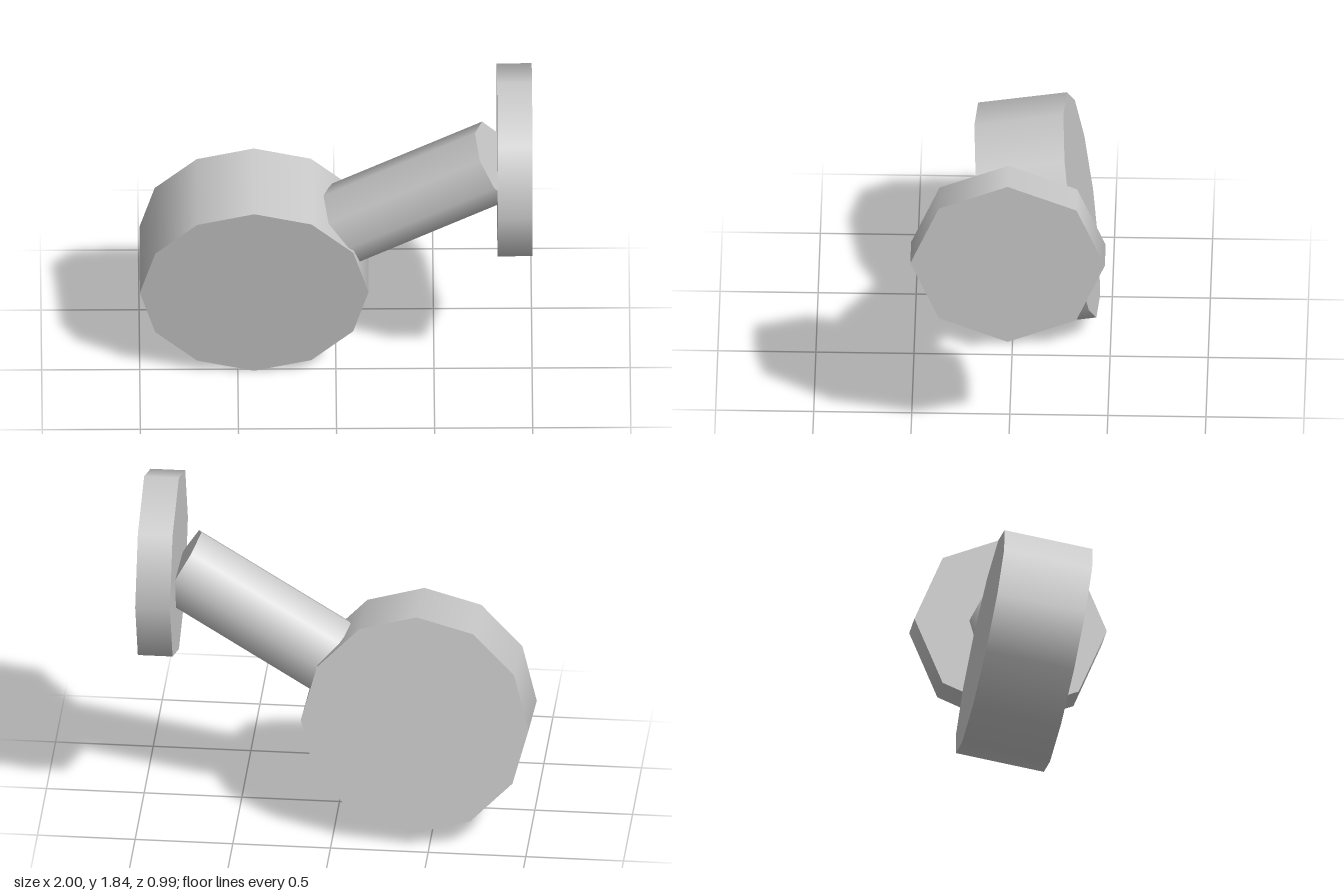
import * as THREE from 'three';

export function createModel() {
  const model = new THREE.Group();
  const grey = new THREE.MeshStandardMaterial({ color: 0xc8c8c8 });
  grey.name = 'light grey';

  // Capped prism with smooth sides running from one point to another
  const rod = (name, from, to, radius, sides) => {
    const a = new THREE.Vector3(...from);
    const b = new THREE.Vector3(...to);
    const axis = b.clone().sub(a);
    const geometry = new THREE.CylinderGeometry(radius, radius, axis.length(), sides);
    const mesh = new THREE.Mesh(geometry, grey);
    mesh.name = name;
    mesh.position.copy(a).add(b).multiplyScalar(0.5);
    mesh.quaternion.setFromUnitVectors(new THREE.Vector3(0, 1, 0), axis.normalize());
    model.add(mesh);
  };

  // Thick drum, tipped slightly forward
  rod('drum', [-0.417, 0.65, -0.346], [-0.417, 0.576, 0.108], 0.583, 12);

  // Slanted arm from the drum to the plate
  rod('arm', [0.045, 0.885, -0.068], [0.816, 1.335, 0], 0.213, 8);

  // Upright end plate
  rod('endPlate', [0.822, 1.34, 0], [1, 1.34, 0], 0.496, 8);

  return model;
}
